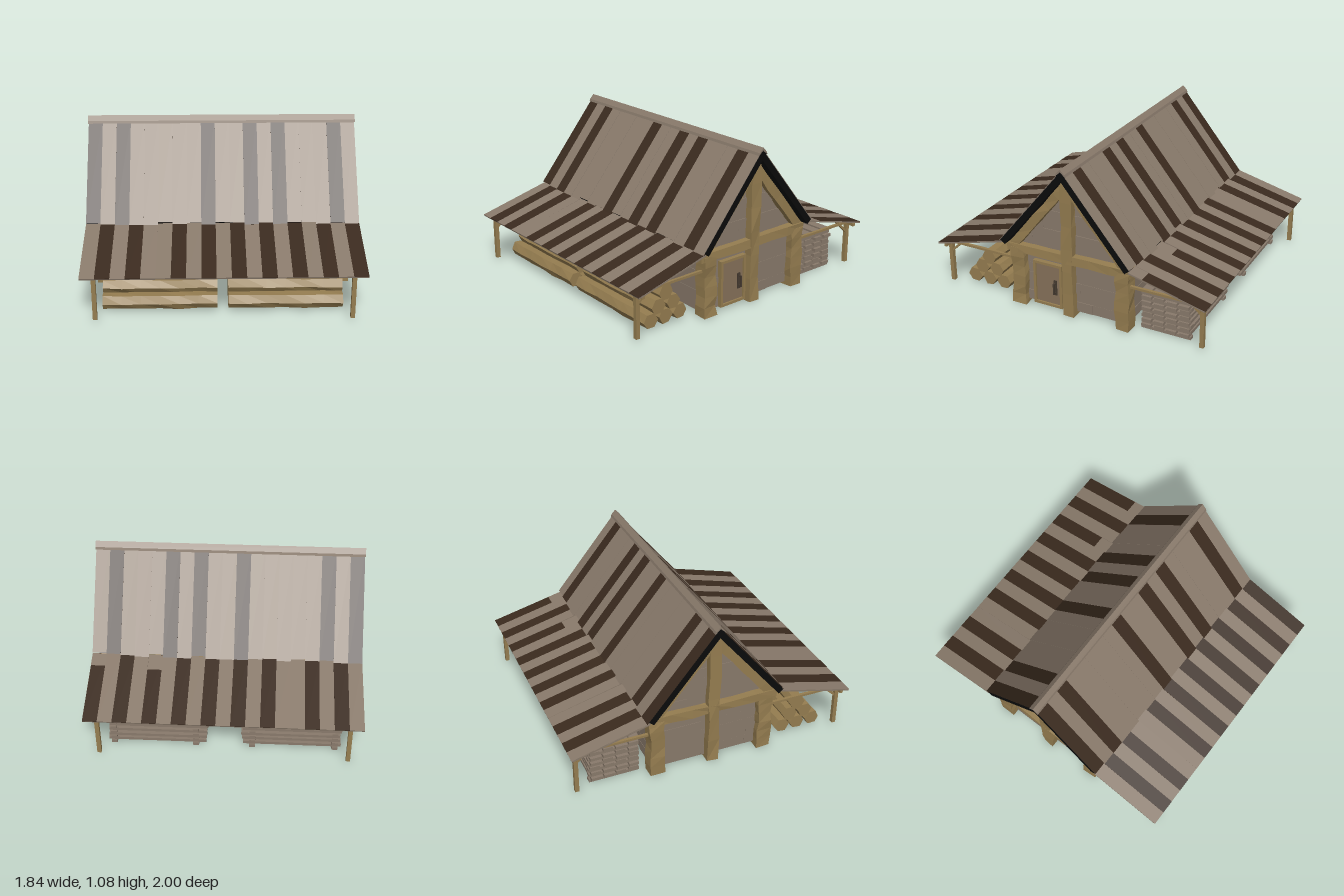
import * as THREE from 'three';

const paint = (name, color) => Object.assign(new THREE.MeshStandardMaterial({ color }), { name });

export function createModel() {
  const model = new THREE.Group();
  model.name = 'timberLodge';
  const taupe = paint('weathered board', 0x897a6b);
  const brown = paint('dark board', 0x3a2a1e);
  const timber = paint('timber', 0x957d50);
  const doorWood = paint('door wood', 0x87725a);
  const black = paint('roof lining', 0x0a0b0b);
  const iron = paint('door iron', 0x463b31);

  let seed = 7;
  const rand = () => (seed = (seed * 16807) % 2147483647) / 2147483647;
  const V = (x, y, z) => new THREE.Vector3(x, y, z);

  // Rough-hewn look: nudge shared corners together, then facet the surface
  function hew(geo, amount) {
    const p = geo.attributes.position, moved = new Map();
    for (let i = 0; i < p.count; i++) {
      const key = [p.getX(i), p.getY(i), p.getZ(i)].map(v => Math.round(v * 1e4)).join();
      if (!moved.has(key)) moved.set(key, [(rand() - 0.5) * amount, (rand() - 0.5) * amount]);
      const [dx, dz] = moved.get(key);
      p.setXYZ(i, p.getX(i) + dx, p.getY(i), p.getZ(i) + dz);
    }
    const flat = geo.toNonIndexed();
    flat.computeVertexNormals();
    return flat;
  }

  function group(name) {
    const g = new THREE.Group();
    g.name = name;
    model.add(g);
    return g;
  }

  function add(parent, name, geo, mat) {
    const m = new THREE.Mesh(geo, mat);
    m.name = name;
    parent.add(m);
    return m;
  }

  function box(parent, name, mat, size, pos) {
    add(parent, name, new THREE.BoxGeometry(...size), mat).position.set(...pos);
  }

  // Bar from a to b; w is its width along x (or along z for bars running in x)
  function beam(parent, name, mat, a, b, w, d, rough = 0) {
    const len = a.distanceTo(b), dir = b.clone().sub(a).normalize();
    let geo = new THREE.BoxGeometry(w, len, d, 1, rough ? 6 : 1, 1);
    if (rough) geo = hew(geo, rough);
    const ref = Math.abs(dir.x) > 0.9 ? V(0, 0, 1) : V(1, 0, 0);
    const basis = new THREE.Matrix4().makeBasis(ref, dir, ref.clone().cross(dir));
    const m = add(parent, name, geo, mat);
    m.quaternion.setFromRotationMatrix(basis);
    m.position.copy(a).add(b).multiplyScalar(0.5);
  }

  // Staggered plank walls
  const rowH = 0.07;
  function plankRow(parent, alongX, at, half, y) {
    let s = -half;
    while (s < half - 0.001) {
      let e = Math.min(half, s + 0.2 + rand() * 0.3);
      if (half - e < 0.08) e = half;
      const len = e - s, mid = (s + e) / 2, t = 0.026 + rand() * 0.014;
      box(parent, 'wallPlank', taupe, alongX ? [len, rowH, t] : [t, rowH, len],
        alongX ? [mid, y, at] : [at, y, mid]);
      s = e;
    }
  }
  const walls = group('walls');
  for (const s of [-1, 1]) {
    for (let y = 0.025 + rowH / 2; y < 0.44; y += rowH) plankRow(walls, true, s * 0.4, 0.79, y);
    for (let y = 0.025 + rowH / 2; y < 0.95; y += rowH)
      plankRow(walls, false, s * 0.8, Math.min(0.42, (0.965 - y) / 1.214), y);
  }
  box(walls, 'ceiling', timber, [1.58, 0.02, 0.8], [0, 0.41, 0]);

  // Heavy timber frame
  const frame = group('timberFrame');
  for (const sx of [-1, 1]) {
    const x = sx * 0.82;
    for (const z of [-0.4, 0.38])
      beam(frame, 'cornerPost', timber, V(x, 0, z), V(x, 0.42, z), 0.09, 0.1, 0.014);
    beam(frame, 'kingPost', timber, V(x, 0, 0), V(x, 0.99, 0), 0.1, 0.08, 0.012);
    beam(frame, 'tieBeam', timber, V(x, 0.42, -0.46), V(x, 0.42, 0.46), 0.09, 0.06, 0.01);
    for (const sz of [-1, 1])
      beam(frame, 'gableRafter', timber, V(x, 0.42, sz * 0.43), V(x, 0.942, 0), 0.08, 0.06, 0.008);
  }
  for (const sz of [-1, 1])
    beam(frame, 'eaveBeam', timber, V(-0.85, 0.42, sz * 0.42), V(0.85, 0.42, sz * 0.42), 0.06, 0.06, 0.01);

  // Door with frame and handle on the left gable
  const door = group('door');
  box(door, 'doorPanel', doorWood, [0.03, 0.3, 0.19], [0.82, 0.185, 0.165]);
  for (const z of [0.065, 0.265]) box(door, 'doorJamb', timber, [0.045, 0.32, 0.018], [0.825, 0.185, z]);
  for (const y of [0.033, 0.337]) box(door, 'doorRail', timber, [0.045, 0.018, 0.218], [0.825, y, 0.165]);
  box(door, 'handlePlate', iron, [0.008, 0.11, 0.022], [0.838, 0.17, 0.11]);
  box(door, 'handleBar', iron, [0.01, 0.08, 0.01], [0.86, 0.17, 0.11]);
  for (const y of [0.135, 0.205]) box(door, 'handleMount', iron, [0.026, 0.01, 0.01], [0.85, y, 0.11]);

  // Striped roof and awning boards over solid sheets
  const roof = group('roof'), awning = group('awning');
  const roofDark = [0, 2, 8, 11, 13, 17], awningDark = [1, 3, 6, 8, 10, 12, 14, 16, 18];
  const columns = 19, step = 1.83 / columns;
  for (const s of [-1, 1]) {
    for (let i = 0; i < columns; i++) {
      const x = -0.915 + (i + 0.5) * step, j = (rand() - 0.5) * 0.02;
      beam(roof, 'roofBoard', roofDark.includes(i) ? brown : taupe,
        V(x, 1.064, 0), V(x, 0.472 - j * 1.2, s * (0.488 + j)), step, 0.003 + (i % 2) * 0.003);
      beam(awning, 'awningBoard', awningDark.includes(i) ? brown : taupe,
        V(x, 0.472 + j * 0.3, s * 0.47), V(x, 0.336, s * 0.998), step, 0.003 + (i % 2) * 0.003);
    }
    beam(roof, 'roofLining', black, V(0, 1.043, s * -0.0154), V(0, 0.467, s * 0.461), 1.831, 0.042);
    beam(awning, 'awningSheet', taupe, V(0, 0.466, s * 0.47), V(0, 0.331, s * 0.995), 1.832, 0.01);
  }

  // Ridge cap
  const capShape = new THREE.Shape([[-0.036, 1.028], [0, 1.06], [0.036, 1.028], [0.03, 1.045], [0, 1.077], [-0.03, 1.045]]
    .map(([x, y]) => new THREE.Vector2(x, y)));
  const cap = new THREE.ExtrudeGeometry(capShape, { depth: 1.84, bevelEnabled: false });
  cap.translate(0, 0, -0.92).rotateY(Math.PI / 2);
  add(roof, 'ridgeCap', cap, taupe);

  // Awning supports
  for (const sz of [-1, 1]) {
    beam(awning, 'awningBeam', timber, V(-0.9, 0.319, sz * 0.95), V(0.9, 0.319, sz * 0.95), 0.02, 0.022);
    for (const x of [-0.83, 0.83]) {
      beam(awning, 'awningPost', timber, V(x, 0.02, sz * 0.95), V(x, 0.335, sz * 0.95), 0.028, 0.028);
      beam(awning, 'awningTie', timber, V(x, 0.322, sz * 0.42), V(x, 0.322, sz * 0.96), 0.02, 0.016);
      beam(awning, 'awningBrace', timber, V(x, 0.25, sz * 0.945), V(x, 0.365, sz * 0.82), 0.016, 0.016);
    }
  }

  // Two piles of six-sided logs at the front
  const logs = group('logPiles');
  for (const x of [-0.415, 0.405])
    for (const [z, y] of [[0.8, 0.07], [0.68, 0.07], [0.563, 0.07], [0.738, 0.153], [0.62, 0.153], [0.676, 0.23]]) {
      const geo = hew(new THREE.CylinderGeometry(0.055, 0.055, 0.75, 6, 6), 0.008).rotateZ(Math.PI / 2);
      add(logs, 'log', geo, timber).position.set(x, y, z);
    }

  // Two cribs of stacked planks at the back
  const cribs = group('plankStacks');
  const layer = 0.0208;
  for (const s of [-1, 1])
    for (let k = 0; k < 14; k++) {
      const y = (k + 0.5) * layer;
      if (k % 2 === 0)
        for (const x of [0.19, 0.745]) box(cribs, 'crossPlank', taupe, [0.04, layer, 0.35], [s * x, y, -0.668]);
      else
        for (let c = 0; c < 4; c++)
          box(cribs, 'longPlank', taupe, [0.66, layer, 0.066],
            [s * 0.45 + (rand() - 0.5) * 0.02, y, -0.533 - c * 0.089 + (rand() - 0.5) * 0.008]);
    }
  return model;
}
